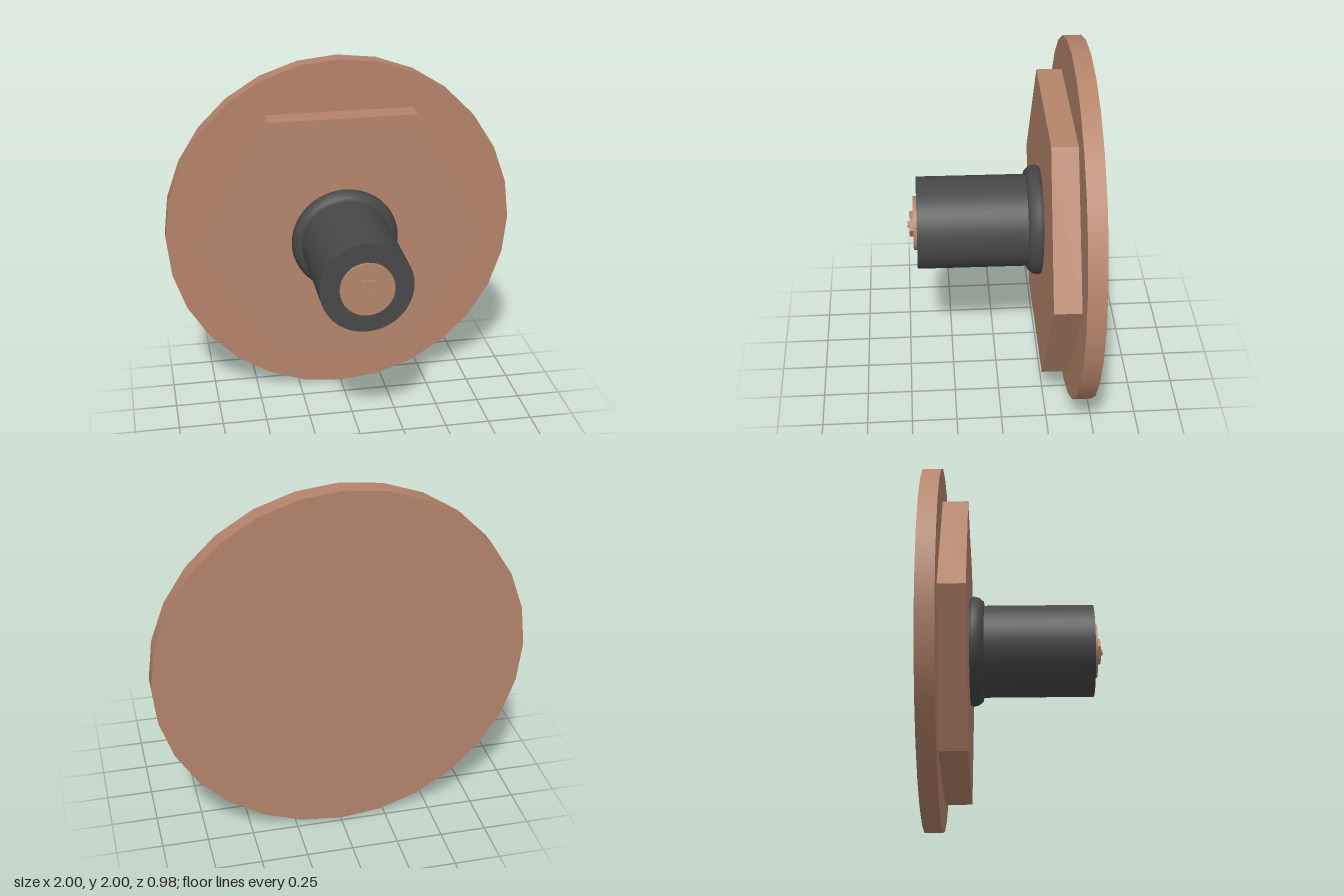
import * as THREE from 'three';

const copper = new THREE.MeshStandardMaterial({ color: 0xb5846b });
const copperFlat = new THREE.MeshStandardMaterial({ color: 0xb5846b, flatShading: true });
const black = new THREE.MeshStandardMaterial({ color: 0x484848 });

// Cylinder lying along z from z0 to z1, leaning upward by a small tilt
function disc(name, radius, sides, z0, z1, y, tilt, material) {
  const geometry = new THREE.CylinderGeometry(radius, radius, z1 - z0, sides, 1, false, sides === 6 ? Math.PI / 2 : 0);
  geometry.rotateX(Math.PI / 2);
  const mesh = new THREE.Mesh(geometry, material);
  mesh.name = name;
  mesh.position.set(0, y, (z0 + z1) / 2);
  mesh.rotation.x = -THREE.MathUtils.degToRad(tilt);
  return mesh;
}

export function createModel() {
  const model = new THREE.Group();
  model.name = 'knob';

  // Wide round plate and the hexagonal plate in front of it
  model.add(disc('backPlate', 1, 28, -0.485, -0.385, 1, 0.35, copper));
  model.add(disc('hexPlate', 0.84, 6, -0.39, -0.24, 0.977, 0.8, copperFlat));

  // Rounded collar at the foot of the barrel
  const profile = [[0.25, -0.25], [0.29, -0.25], [0.305, -0.222], [0.297, -0.19], [0.275, -0.165], [0.25, -0.163]];
  const collarGeometry = new THREE.LatheGeometry(profile.map(([r, z]) => new THREE.Vector2(r, z)), 48);
  collarGeometry.rotateX(Math.PI / 2);
  const collar = new THREE.Mesh(collarGeometry, black);
  collar.name = 'collar';
  collar.position.y = 0.995;
  model.add(collar);

  // Barrel with the stepped copper tip
  model.add(disc('barrel', 0.254, 48, -0.25, 0.437, 0.997, 0.6, black));
  model.add(disc('tipDisc', 0.148, 32, 0.42, 0.456, 0.998, 0.6, copper));
  model.add(disc('tipHex', 0.07, 6, 0.44, 0.476, 0.994, 0.6, copperFlat));
  model.add(disc('tipPin', 0.017, 16, 0.46, 0.488, 0.991, 0.6, copper));

  return model;
}
